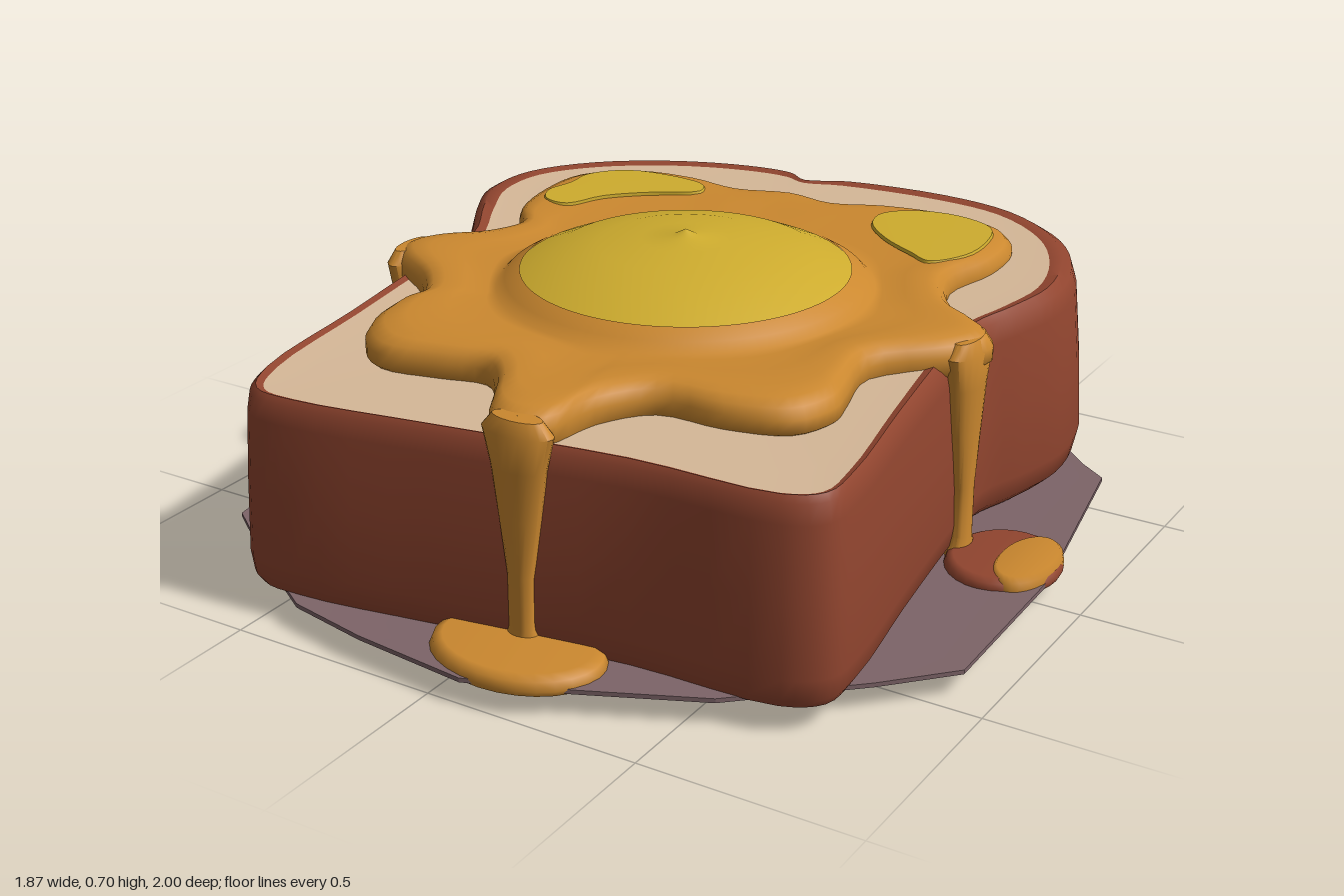
import * as THREE from 'three';
import { toCreasedNormals } from 'three/addons/utils/BufferGeometryUtils.js';

const mat = (name, color) => Object.assign(new THREE.MeshStandardMaterial({ color }), { name });

// Outlines are flat [x, z] lists, clockwise seen from above.
const pairs = (a) => {
  const out = [];
  for (let i = 0; i < a.length; i += 2) out.push(new THREE.Vector3(a[i], 0, a[i + 1]));
  return out;
};
const smooth = (a, n = 4) => {
  const pts = pairs(a);
  const curve = new THREE.CatmullRomCurve3(pts, true, 'centripetal');
  return Array.from({ length: pts.length * n }, (_, i) => curve.getPoint(i / (pts.length * n)));
};

// Skin a stack of closed rings, from the bottom up and inwards.
function loft(rings, crease = 0.8) {
  const n = rings[0].length, pos = [], idx = [];
  rings.forEach((r) => r.forEach((p) => pos.push(p.x, p.y, p.z)));
  for (let r = 0; r < rings.length - 1; r++) {
    for (let i = 0; i < n; i++) {
      const a = r * n + i, b = r * n + (i + 1) % n;
      idx.push(a, a + n, b, b, a + n, b + n);
    }
  }
  const g = new THREE.BufferGeometry();
  g.setAttribute('position', new THREE.Float32BufferAttribute(pos, 3));
  g.setIndex(idx);
  return toCreasedNormals(g, crease);
}
// Rings scaled about a centre: spec is a list of [scale, y].
const scaled = (pts, spec, c = new THREE.Vector3()) => spec.map(([s, y]) =>
  pts.map((p) => p.clone().sub(c).multiplyScalar(s).add(c).setY(y)));

const CRUST = [
  -0.16, -0.87, -0.04, -0.95, 0.22, -0.985, 0.44, -0.94, 0.61, -0.83, 0.71, -0.66, 0.74, -0.48,
  0.71, -0.33, 0.67, -0.2, 0.69, 0, 0.73, 0.3, 0.775, 0.6, 0.77, 0.71, 0.69, 0.77, 0.35, 0.79,
  -0.1, 0.86, -0.42, 0.91, -0.54, 0.9, -0.61, 0.8, -0.65, 0.45, -0.7, 0.1, -0.73, -0.12,
  -0.83, -0.27, -0.9, -0.42, -0.88, -0.56, -0.76, -0.73, -0.56, -0.86, -0.34, -0.93, -0.22, -0.93];
const CRUMB = [
  -0.16, -0.84, -0.06, -0.87, 0.2, -0.895, 0.38, -0.87, 0.53, -0.77, 0.62, -0.63, 0.66, -0.47,
  0.64, -0.33, 0.61, -0.2, 0.63, 0, 0.68, 0.3, 0.73, 0.58, 0.73, 0.69, 0.66, 0.735, 0.33, 0.75,
  -0.1, 0.82, -0.42, 0.87, -0.51, 0.86, -0.56, 0.76, -0.6, 0.43, -0.64, 0.1, -0.65, -0.1,
  -0.74, -0.28, -0.8, -0.42, -0.79, -0.55, -0.69, -0.68, -0.52, -0.79, -0.34, -0.85, -0.22, -0.86];
const EGG = [
  -0.66, -0.55, -0.55, -0.65, -0.39, -0.67, -0.24, -0.645, -0.1, -0.69, 0.03, -0.67, 0.16, -0.73,
  0.32, -0.76, 0.46, -0.725, 0.52, -0.635, 0.53, -0.5, 0.5, -0.34, 0.585, -0.185, 0.69, -0.12,
  0.735, -0.06, 0.69, 0.03, 0.56, 0.175, 0.585, 0.32, 0.6, 0.4, 0.56, 0.5, 0.425, 0.545,
  0.27, 0.555, 0.19, 0.66, 0.16, 0.8, 0.09, 0.835, 0.03, 0.8, -0.05, 0.67, -0.12, 0.61,
  -0.235, 0.635, -0.37, 0.655, -0.46, 0.58, -0.49, 0.45, -0.475, 0.37, -0.55, 0.265,
  -0.685, 0.175, -0.72, 0.12, -0.685, 0.05, -0.595, -0.03, -0.555, -0.13, -0.63, -0.24, -0.67, -0.4];
const BASE = [
  -0.94, -0.33, -0.75, -0.64, -0.42, -0.88, 0.1, -0.95, 0.5, -0.84, 0.75, -0.6, 0.82, -0.55,
  0.92, 0, 0.93, 0.44, 0.8, 0.58, 0.56, 0.8, 0.3, 0.92, 0.08, 1, -0.2, 0.97, -0.4, 0.93,
  -0.6, 0.8, -0.79, 0.66];
const GLOSS_LEFT = [
  -0.6, -0.5, -0.53, -0.58, -0.39, -0.6, -0.3, -0.58, -0.28, -0.53, -0.39, -0.45, -0.47, -0.37,
  -0.515, -0.275, -0.58, -0.28, -0.615, -0.34, -0.6, -0.42];
const GLOSS_RIGHT = [
  0.18, -0.62, 0.24, -0.68, 0.35, -0.7, 0.455, -0.66, 0.49, -0.555, 0.485, -0.45, 0.43, -0.37,
  0.37, -0.4, 0.27, -0.46, 0.19, -0.545];

export function createModel() {
  const group = new THREE.Group();
  const crustMat = mat('crust brown', 0x91452f);
  const crumbMat = mat('crumb cream', 0xd6b898);
  const sauceMat = mat('sauce orange', 0xcb882f);
  const yolkMat = mat('yolk yellow', 0xceac2e);
  const baseMat = mat('base mauve', 0x7d6468);
  const add = (name, geo, material, parent = group) => {
    const m = new THREE.Mesh(geo, material);
    m.name = name;
    parent.add(m);
    return m;
  };

  // Thin faceted base sheet with a shallow curved underside
  add('base', loft(scaled(pairs(BASE), [[0.001, 0], [0.45, 0.006], [0.8, 0.02], [1, 0.05],
    [1, 0.06], [0.85, 0.056], [0.001, 0.056]]), 0.3), baseMat);

  // Bread: walls lean from the crust outline towards the crumb outline
  const outer = smooth(CRUST), inner = smooth(CRUMB);
  const tilt = (z, y) => y - 0.04 * z * y;
  const breadRing = (k, y, s = 1) => outer.map((p, i) => {
    const q = p.clone().lerp(inner[i], k).multiplyScalar(s);
    return q.setY(tilt(q.z, y));
  });
  add('crust', loft([breadRing(0.4, 0.055, 0.001), breadRing(0.4, 0.06), breadRing(0.12, 0.08),
    breadRing(0, 0.13), breadRing(0.12, 0.3), breadRing(0.3, 0.47), breadRing(0.45, 0.515),
    breadRing(0.7, 0.53), breadRing(1, 0.525)]), crustMat);
  add('crumb', loft([breadRing(1, 0.525), breadRing(1, 0.522, 0.9), breadRing(1, 0.522, 0.001)]), crumbMat);

  // Loose crust crumb at the foot of the back notch
  const flake = add('crustFlake', new THREE.DodecahedronGeometry(0.07), crustMat);
  flake.scale.set(1, 0.5, 0.65);
  flake.position.set(-0.25, 0.085, -0.955);

  // Egg: a rounded wavy rim easing into the collar around the yolk
  const rim = smooth(EGG);
  const eggRing = (t, y, r = 0.43) => rim.map((p) => {
    const c = p.clone().setLength(r);
    return p.clone().lerp(c, t).setY(y);
  });
  add('egg', loft([eggRing(0.1, 0.49), eggRing(0, 0.515), eggRing(0, 0.545), eggRing(0.05, 0.567),
    eggRing(0.14, 0.58), eggRing(0.3, 0.584), eggRing(0.6, 0.579), eggRing(0.9, 0.568),
    eggRing(1, 0.57), eggRing(1, 0.59, 0.41), eggRing(1, 0.61, 0.375)], 1.2), sauceMat);

  // Yolk dome with a small peak
  const dome = [[0.38, 0.605], [0.3, 0.64], [0.2, 0.664], [0.1, 0.677], [0.03, 0.682], [0, 0.698]];
  add('yolk', new THREE.LatheGeometry(dome.map(([r, y]) => new THREE.Vector2(r, y)), 48), yolkMat);

  // Yellow patches lying on the egg
  [['leftBackPatch', GLOSS_RIGHT], ['rightBackPatch', GLOSS_LEFT]].forEach(([name, o]) => {
    const pts = smooth(o);
    const c = pts.reduce((s, p) => s.add(p), new THREE.Vector3()).divideScalar(pts.length);
    add(name, loft(scaled(pts, [[1, 0.579], [0.98, 0.587], [0.001, 0.588]], c)), yolkMat);
  });

  // Drips: flattened tapering columns against the bread walls
  const dripSpec = [[0.05, 0.05, 0.03], [0.1, 0.032, 0.025], [0.22, 0.032, 0.025], [0.35, 0.05, 0.03],
    [0.46, 0.065, 0.035], [0.54, 0.085, 0.04], [0.57, 0.06, 0.025], [0.572, 0.001, 0.001]];
  const dripGeo = loft(dripSpec.map(([y, w, d]) => Array.from({ length: 20 }, (_, i) => {
    const a = i / 20 * Math.PI * 2;
    return new THREE.Vector3(Math.cos(a) * w, y, Math.sin(a) * d);
  })));
  [['frontDrip', 0.11, 0.815, 0], ['leftDrip', 0.69, -0.04, Math.PI / 2],
    ['rightDrip', -0.685, 0.12, -Math.PI / 2]].forEach(([name, x, z, turn]) => {
    const d = add(name, dripGeo, sauceMat);
    d.position.set(x, 0, z);
    d.rotation.y = turn;
  });

  // Puddles on the base, some with a second colour on top
  const puddleGeo = new THREE.LatheGeometry([[0.96, 0], [1, 0.3], [0.96, 0.75], [0.85, 1], [0, 1]]
    .map(([r, y]) => new THREE.Vector2(r, y)), 28);
  [['frontPuddle', 0.12, 0.85, 0.2, 0.145, 0.088, sauceMat],
    ['leftPuddle', 0.8, -0.035, 0.13, 0.14, 0.08, crustMat],
    ['leftPuddleTop', 0.857, -0.035, 0.068, 0.125, 0.088, sauceMat],
    ['rightPuddle', -0.79, 0.18, 0.13, 0.14, 0.083, sauceMat],
    ['rightPuddleTop', -0.735, 0.1, 0.075, 0.07, 0.09, crustMat],
  ].forEach(([name, x, z, rx, rz, top, material]) => {
    const p = add(name, puddleGeo, material);
    p.position.set(x, 0.045, z);
    p.scale.set(rx, top - 0.045, rz);
  });

  return group;
}
